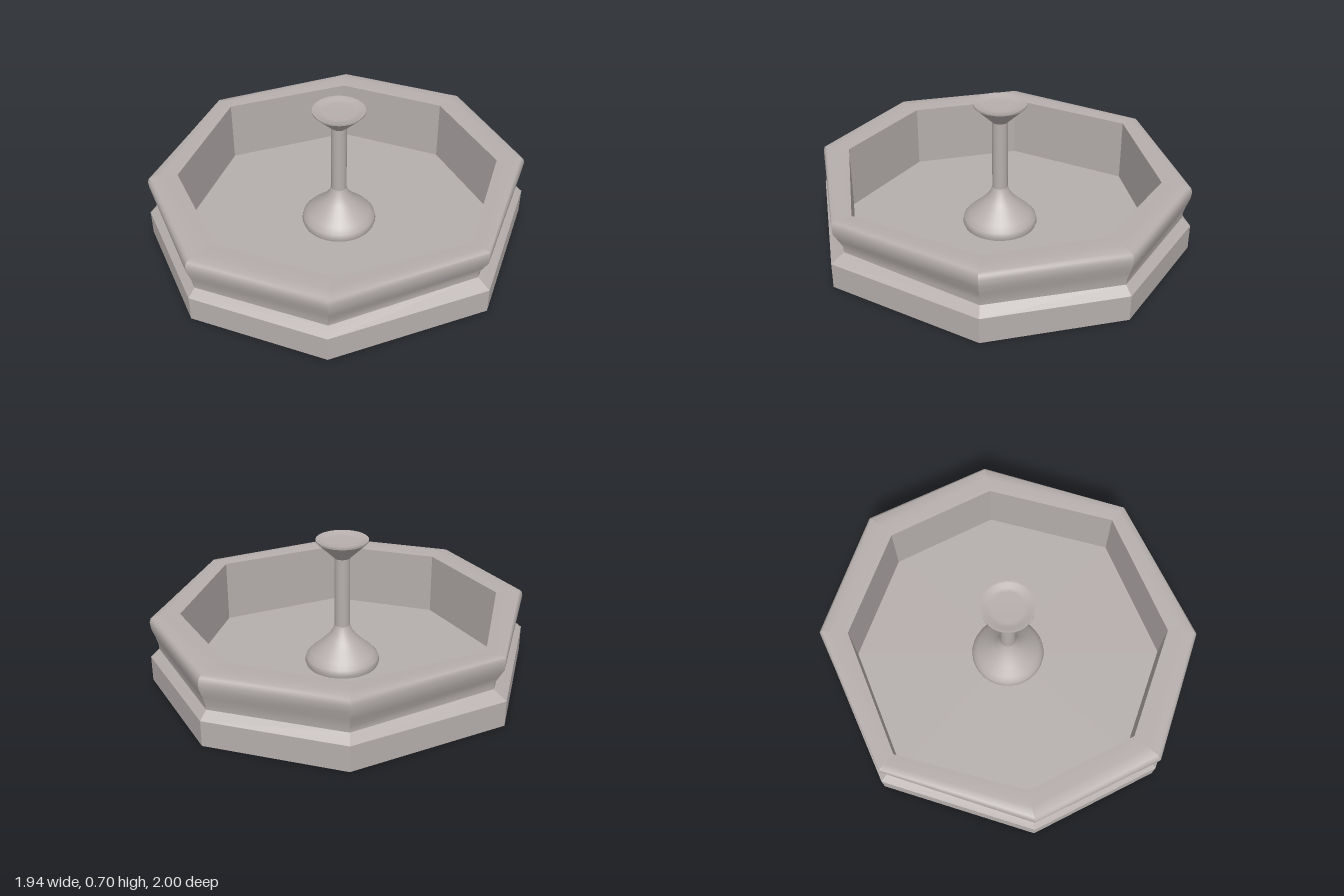
import * as THREE from 'three';
import { mergeGeometries } from 'three/addons/utils/BufferGeometryUtils.js';

const stone = new THREE.MeshStandardMaterial({ color: 0xb5aeac });
stone.name = 'warm grey stone';

// Octagon corner at one level: [y, reach along z, reach along x, diagonal x, diagonal z]
function corner([y, z, x, dx, dz], i) {
  const k = i % 8;
  const sx = [0, 1, 1, 1, 0, -1, -1, -1][k];
  const sz = [1, 1, 0, -1, -1, -1, 0, 1][k];
  if (k % 2) return [sx * dx, y, sz * dz];
  return [sx * x, y, sz * z];
}

// Eight facets, each smooth along its profile band and sharp at the corners
function octagonBand(levels) {
  const sides = [];
  for (let i = 0; i < 8; i++) {
    const positions = [];
    const index = [];
    levels.forEach((level, j) => {
      positions.push(...corner(level, i), ...corner(level, i + 1));
      if (j) {
        const a = 2 * j - 2;
        index.push(a, a + 1, a + 3, a, a + 3, a + 2);
      }
    });
    const side = new THREE.BufferGeometry();
    side.setAttribute('position', new THREE.Float32BufferAttribute(positions, 3));
    side.setIndex(index);
    side.computeVertexNormals();
    sides.push(side);
  }
  return mergeGeometries(sides);
}

// Turned part made of separately smoothed bands
function turned(bands, segments = 32) {
  return mergeGeometries(bands.map((band) =>
    new THREE.LatheGeometry(band.map(([r, y]) => new THREE.Vector2(r, y)), segments)));
}

export function createModel() {
  const group = new THREE.Group();
  const add = (name, geometry) => {
    const mesh = new THREE.Mesh(geometry, stone);
    mesh.name = name;
    group.add(mesh);
  };

  const foot = [0, 1, 0.97, 0.64, 0.74];
  const footTop = [0.13, 1, 0.97, 0.64, 0.74];
  const waist = [0.17, 0.96, 0.9, 0.612, 0.705];
  const innerTop = [0.35, 0.825, 0.845, 0.545, 0.61];
  const innerFloor = [0.012, 0.825, 0.845, 0.545, 0.61];

  // Basin, from the underside up the outside and down into the floor
  add('underside', octagonBand([[0, 0, 0, 0, 0], foot]));
  add('plinth', octagonBand([foot, footTop]));
  add('ledge', octagonBand([footTop, waist]));
  add('mouldedRim', octagonBand([
    waist,
    [0.2, 0.964, 0.9, 0.612, 0.708],
    [0.24, 0.977, 0.922, 0.622, 0.716],
    [0.285, 0.993, 0.947, 0.633, 0.728],
    [0.32, 0.996, 0.95, 0.636, 0.731],
    [0.342, 0.987, 0.95, 0.632, 0.726],
    [0.352, 0.97, 0.945, 0.624, 0.715],
    [0.355, 0.91, 0.91, 0.595, 0.675],
    innerTop,
  ]));
  add('innerWall', octagonBand([innerTop, innerFloor]));
  add('basinFloor', octagonBand([innerFloor, [0.012, 0, 0, 0, 0]]));

  // Central spout: bell foot, slim stem and flared cup
  add('spoutFoot', turned([[
    [0.185, 0.005], [0.194, 0.03], [0.188, 0.055], [0.165, 0.08],
    [0.12, 0.12], [0.08, 0.16], [0.053, 0.195], [0.04, 0.23],
  ]]));
  add('spoutStem', turned([[[0.04, 0.22], [0.04, 0.6]]]));
  add('spoutCup', turned([
    [[0.04, 0.6], [0.132, 0.688]],
    [[0.132, 0.688], [0.133, 0.698]],
    [[0.133, 0.698], [0.122, 0.697], [0.1, 0.688], [0.08, 0.685], [0, 0.685]],
  ]));
  return group;
}
